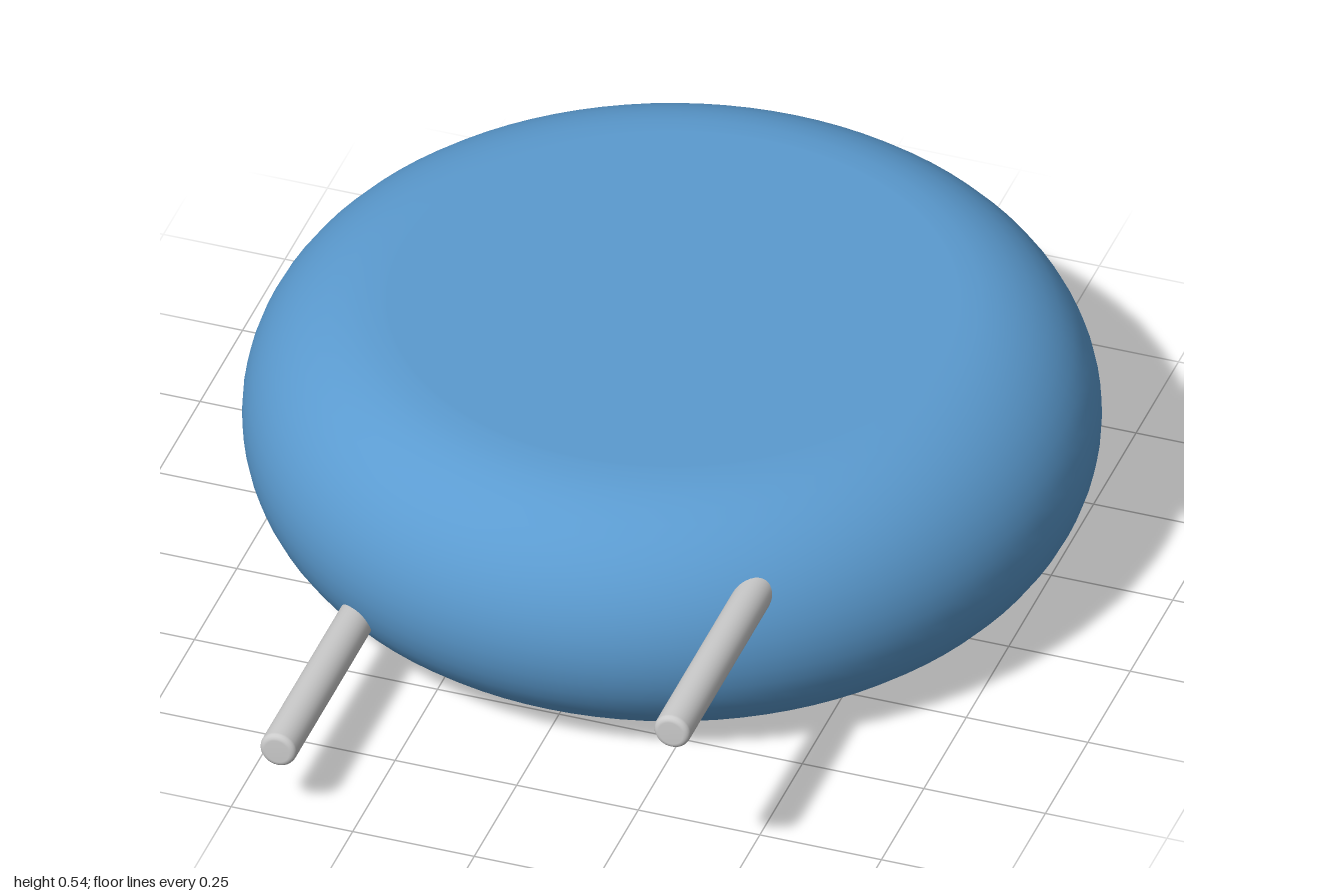
import * as THREE from 'three';

const RIM = 0.27;          // radius of the rounded edge, half the thickness
const FLAT = 0.565;        // radius of the flat faces
const CENTRE_Z = -0.165;
const LEAD_R = 0.037;

// Disc with flat faces and a fully rounded rim
function createBody(material) {
  const profile = [new THREE.Vector2(0, 0), new THREE.Vector2(FLAT - 0.01, 0)];
  const steps = 24;
  for (let i = 0; i <= steps; i++) {
    const a = -Math.PI / 2 + (Math.PI * i) / steps;
    profile.push(new THREE.Vector2(FLAT + RIM * Math.cos(a), RIM + RIM * Math.sin(a)));
  }
  profile.push(new THREE.Vector2(FLAT - 0.01, 2 * RIM), new THREE.Vector2(0, 2 * RIM));
  const body = new THREE.Mesh(new THREE.LatheGeometry(profile, 96), material);
  body.name = 'discBody';
  body.position.z = CENTRE_Z;
  return body;
}

// Round wire with a softly rounded tip, running forward out of the body
function createLead(name, x, y, material) {
  const start = 0.45, end = 1, fillet = 0.012;
  const profile = [new THREE.Vector2(0, start), new THREE.Vector2(LEAD_R, start)];
  for (let i = 0; i <= 4; i++) {
    const a = (Math.PI / 2) * (i / 4);
    profile.push(new THREE.Vector2(
      LEAD_R - fillet + fillet * Math.cos(a),
      end - fillet + fillet * Math.sin(a)
    ));
  }
  profile.push(new THREE.Vector2(0, end));
  const geometry = new THREE.LatheGeometry(profile, 32).rotateX(Math.PI / 2);
  const lead = new THREE.Mesh(geometry, material);
  lead.name = name;
  lead.position.set(x, y, 0);
  return lead;
}

export function createModel() {
  const blue = new THREE.MeshStandardMaterial({ color: 0x5b9bd0 });
  const grey = new THREE.MeshStandardMaterial({ color: 0xcccccc });
  const model = new THREE.Group();
  model.name = 'discComponent';
  model.add(
    createBody(blue),
    createLead('leftLead', 0.404, 0.39, grey),
    createLead('rightLead', -0.406, 0.154, grey)
  );
  return model;
}
